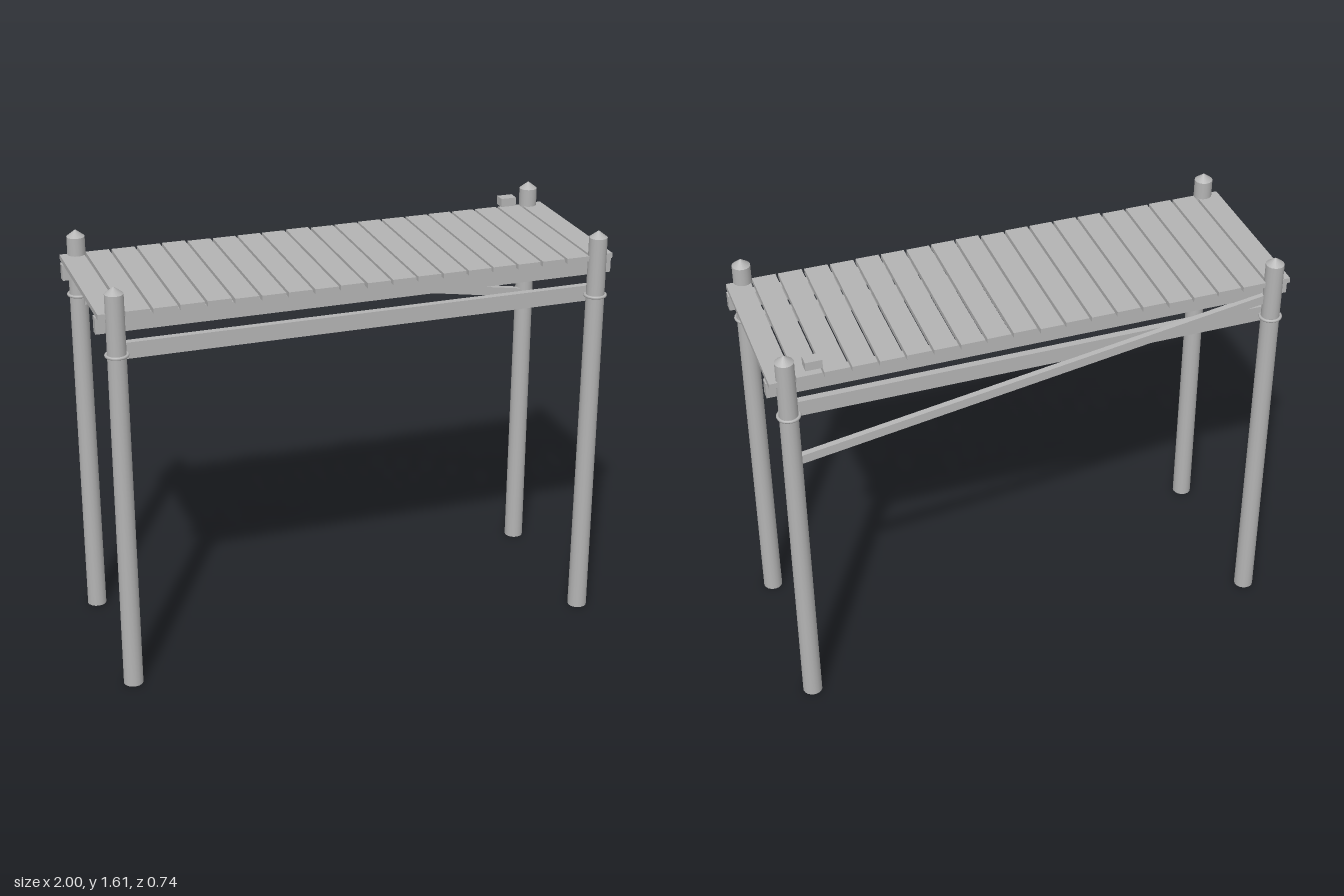
import * as THREE from 'three';

export function createModel() {
  const model = new THREE.Group();
  model.name = 'raisedWalkway';
  const wood = new THREE.MeshStandardMaterial({ color: 0xb4b4b4 });
  wood.name = 'weathered grey';

  const add = (name, geometry, x, y, z, parent = model) => {
    const mesh = new THREE.Mesh(geometry, wood);
    mesh.name = name;
    mesh.position.set(x, y, z);
    parent.add(mesh);
    return mesh;
  };
  const box = (name, w, h, d, x, y, z, parent) =>
    add(name, new THREE.BoxGeometry(w, h, d), x, y, z, parent);

  // Four tapered round posts with pointed caps and rope rings
  for (const sx of [-1, 1]) {
    for (const sz of [-1, 1]) {
      const post = new THREE.Group();
      post.name = (sz > 0 ? 'front' : 'back') + (sx > 0 ? 'Left' : 'Right') + 'Post';
      post.position.set(sx * 0.932, 0, sz * 0.324);
      add('shaft', new THREE.CylinderGeometry(0.035, 0.038, 1.583, 16), 0, 0.7915, 0, post);
      add('cap', new THREE.ConeGeometry(0.035, 0.027, 16), 0, 1.5965, 0, post);
      const ring = add('ring', new THREE.TorusGeometry(0.039, 0.006, 8, 24), 0, 1.352, 0, post);
      ring.rotation.x = Math.PI / 2;
      model.add(post);
    }
  }

  // Deck joists and the lower rails between the posts
  for (const s of [-1, 1]) {
    const side = s > 0 ? 'front' : 'back';
    box(side + 'Joist', 2, 0.062, 0.035, 0, 1.461, s * 0.287);
    box(side + 'Rail', 1.84, 0.062, 0.027, 0, 1.353, s * 0.288);
  }

  // Diagonal brace on the back
  const [x0, y0, x1, y1] = [-0.91, 1.432, 0.91, 1.14];
  const brace = box('backBrace', Math.hypot(x1 - x0, y1 - y0), 0.036, 0.024,
    (x0 + x1) / 2, (y0 + y1) / 2, -0.312);
  brace.rotation.z = Math.atan2(y1 - y0, x1 - x0);

  // Twenty planks laid slightly unevenly across the joists
  const shifts = [0, -1, 0, -3, -6, 2, 4, 3, 3, -4, 5, 2, -2, -1, 0, -3, -1, 0, 1, -6];
  shifts.forEach((shift, i) => {
    box('plank', 0.09, 0.02, 0.665, -0.95 + i * 0.1, 1.503, shift * 0.001 - 0.002);
  });

  // Small block above the back corner of the deck
  box('block', 0.063, 0.034, 0.046, 0.829, 1.545, -0.304);

  return model;
}
